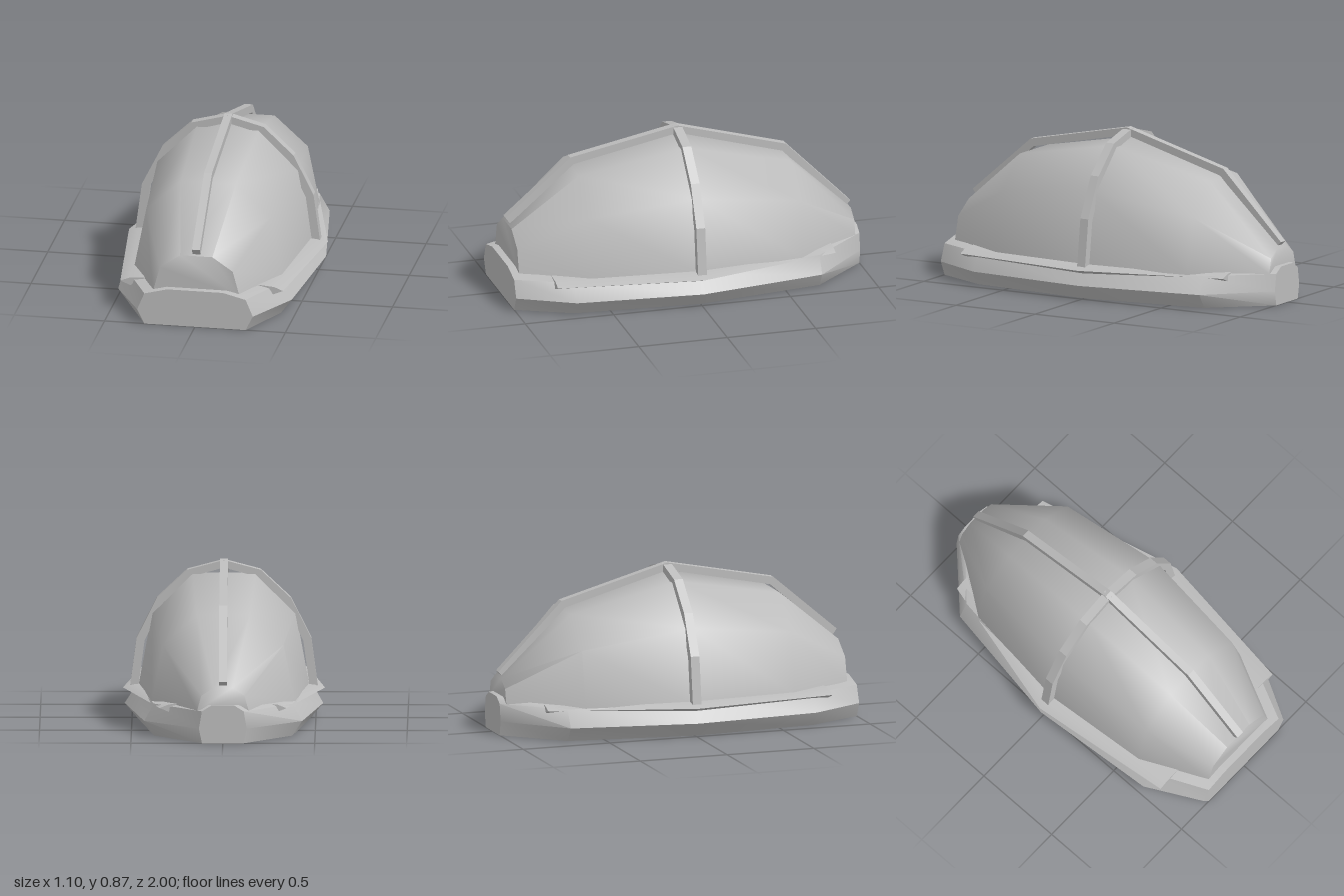
import * as THREE from 'three';
import { toCreasedNormals } from 'three/addons/utils/BufferGeometryUtils.js';

// Skin a list of { z, ring } sections, front to back; rings run counter-clockwise seen from +z.
function loft(sections, crease) {
  const n = sections[0].ring.length;
  const pos = [], idx = [];
  for (const { z, ring } of sections) for (const [x, y] of ring) pos.push(x, y, z);
  for (let s = 0; s < sections.length - 1; s++) {
    for (let i = 0; i < n; i++) {
      const a = s * n + i, b = s * n + (i + 1) % n;
      idx.push(a, a + n, b, b, a + n, b + n);
    }
  }
  const last = (sections.length - 1) * n;
  for (let i = 1; i < n - 1; i++) {
    idx.push(0, i, i + 1, last, last + i + 1, last + i);
  }
  const g = new THREE.BufferGeometry();
  g.setAttribute('position', new THREE.Float32BufferAttribute(pos, 3));
  g.setIndex(idx);
  return toCreasedNormals(g, crease);
}

// Complete a right-hand half profile (bottom to top) into a symmetric ring.
const mirrorRing = (half) => [...half, ...half.map(([x, y]) => [-x, y]).reverse()];

// Flat bar between an outer and an inner polyline, centred on its thickness.
function bar(outer, inner, depth) {
  const pts = [...outer, ...[...inner].reverse()].map(([x, y]) => new THREE.Vector2(x, y));
  const g = new THREE.ExtrudeGeometry(new THREE.Shape(pts), { depth, bevelEnabled: false });
  return g.translate(0, 0, -depth / 2);
}

export function createModel() {
  const group = new THREE.Group();
  const grey = new THREE.MeshStandardMaterial({ color: 0xbcbcbc });
  grey.name = 'plain grey';
  const add = (name, geometry) => {
    const mesh = new THREE.Mesh(geometry, grey);
    mesh.name = name;
    group.add(mesh);
    return mesh;
  };

  // Base hull: constant height, half width varies along z
  const hull = [[1, 0.32], [0.7, 0.48], [0, 0.54], [-0.7, 0.43], [-1, 0.13]];
  add('hull', loft(hull.map(([z, w]) => ({
    z,
    ring: mirrorRing([[w * 0.875, 0], [w, 0.08], [w * 0.875, 0.175], [w * 0.48, 0.207]]),
  })), 0.7));

  // Domed canopy: [z, half width, top height]
  const base = 0.175;
  const dome = [[0.96, 0.24, 0.395], [0.6, 0.41, 0.69], [0, 0.465, 0.797], [-0.6, 0.39, 0.65], [-0.97, 0.14, 0.3]];
  add('canopy', loft(dome.map(([z, w, top]) => ({
    z,
    ring: mirrorRing([[w, base], [w * 0.84, base + (top - base) * 0.65], [w * 0.37, top]]),
  })), 0.9));

  // Lengthwise spine over the canopy, drawn as (z, y)
  const spine = bar(
    [[0.975, 0.437], [0.61, 0.75], [0, 0.872], [-0.61, 0.702], [-0.975, 0.332]],
    [[0.95, 0.402], [0.59, 0.71], [0, 0.83], [-0.59, 0.663], [-0.945, 0.3]], 0.044);
  add('spine', spine.rotateY(-Math.PI / 2));

  // Crosswise rib arching from side to side
  const arch = (half) => [...half, ...half.slice(0, -1).map(([x, y]) => [-x, y]).reverse()];
  const rib = bar(
    arch([[0.51, 0.18], [0.475, 0.44], [0.365, 0.66], [0.2, 0.815], [0, 0.868]]),
    arch([[0.465, 0.18], [0.432, 0.425], [0.332, 0.632], [0.182, 0.776], [0, 0.827]]), 0.05);
  add('rib', rib);

  // Thin side lips along the hull rim: [z, outer x]
  const lip = [[0.8, 0.45], [0, 0.55], [-0.8, 0.345]];
  for (const side of [1, -1]) {
    const sections = lip.map(([z, w]) => {
      const ring = [[w - 0.055, 0.142], [w, 0.165], [w - 0.05, 0.185], [w - 0.14, 0.192], [w - 0.09, 0.16]]
        .map(([x, y]) => [x * side, y]);
      return { z, ring: side > 0 ? ring : ring.reverse() };
    });
    add(side > 0 ? 'leftLip' : 'rightLip', loft(sections, 0.4));
  }

  return group;
}
